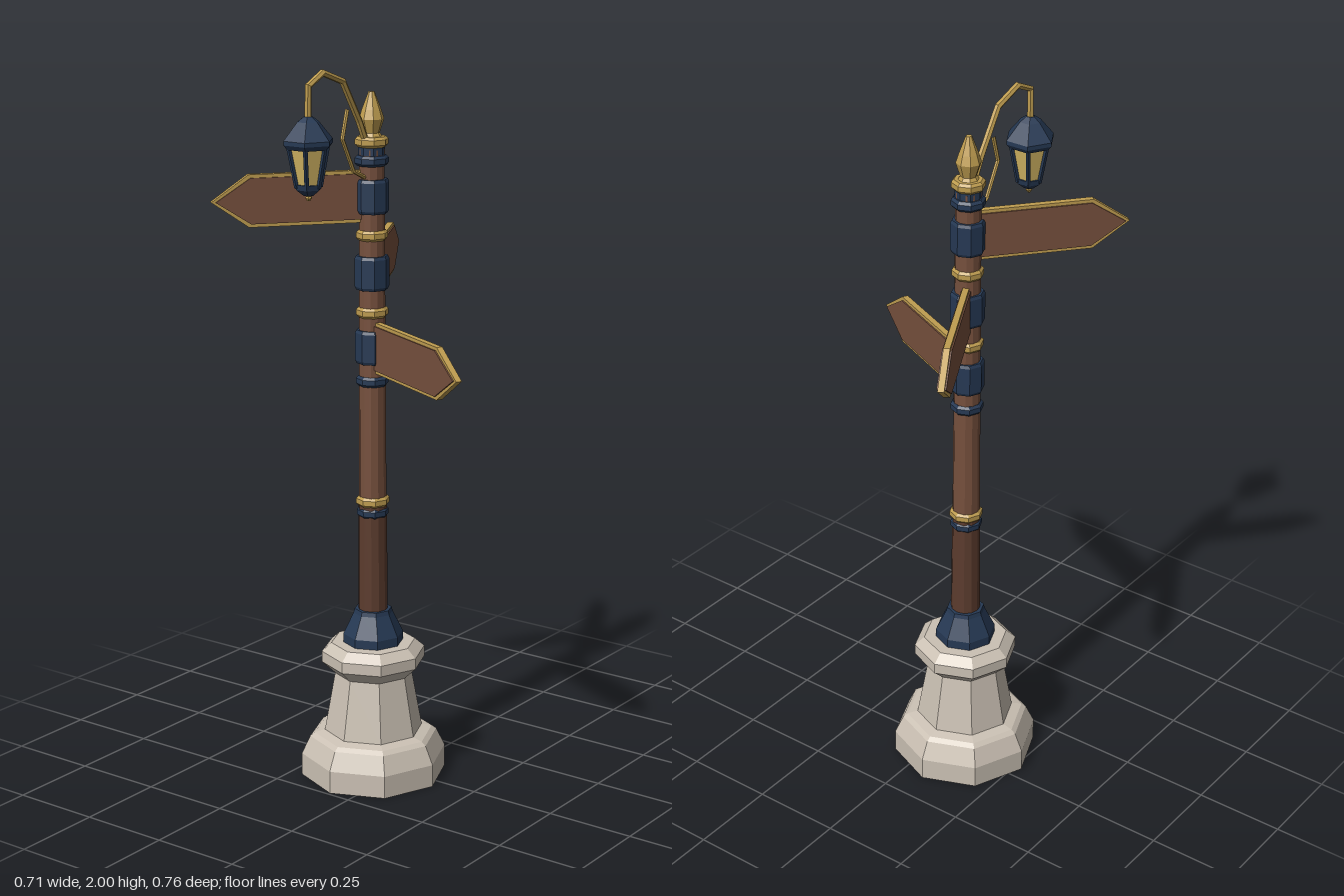
import * as THREE from 'three';

const mat = (name, color) => {
  const m = new THREE.MeshStandardMaterial({ color, flatShading: true });
  m.name = name;
  return m;
};

export function createModel() {
  const stone = mat('stone', 0xcbc1b4);
  const wood = mat('wood', 0x76503d);
  const darkWood = mat('dark wood', 0x5c3c2e);
  const gold = mat('gold', 0xbf9d50);
  const navy = mat('navy', 0x263954);
  const glass = mat('lamp glass', 0xd6b865);

  const model = new THREE.Group();
  model.name = 'signpost';
  const root = new THREE.Group();
  root.name = 'postAssembly';
  root.position.set(-0.068, 0, 0.039);
  model.add(root);

  const add = (name, geometry, material, parent = root) => {
    const mesh = new THREE.Mesh(geometry, material);
    mesh.name = name;
    parent.add(mesh);
    return mesh;
  };

  // Faceted turned part from [radius, height] pairs, closed at both ends
  const turned = (name, profile, material, sides = 8, parent = root) => {
    const pts = [[0, profile[0][1]], ...profile, [0, profile.at(-1)[1]]];
    return add(name, new THREE.LatheGeometry(pts.map(p => new THREE.Vector2(...p)), sides), material, parent);
  };

  // Stone pedestal and metal foot
  turned('pedestal', [[0.204, 0], [0.204, 0.064], [0.18, 0.115], [0.167, 0.125], [0.138, 0.132],
    [0.108, 0.3], [0.145, 0.335], [0.145, 0.366], [0.118, 0.39]], stone);
  turned('postFoot', [[0.084, 0.388], [0.084, 0.415], [0.055, 0.475], [0.052, 0.487]], navy);

  // Post
  turned('lowerPost', [[0.041, 0.47], [0.039, 0.79]], darkWood, 12);
  turned('upperPost', [[0.038, 0.79], [0.034, 1.77]], wood, 12);

  // Ring bands
  const band = (name, y, r, h, material) => turned(name, [[r * 0.85, y - h / 2], [r, y - h / 4],
    [r, y + h / 4], [r * 0.85, y + h / 2]], material);
  for (const [y, r] of [[0.8, 0.046], [1.33, 0.044], [1.54, 0.043], [1.79, 0.045]]) {
    band('goldBand', y, r, 0.028, gold);
  }
  for (const [y, r] of [[0.768, 0.044], [1.14, 0.045], [1.74, 0.046]]) {
    band('navyBand', y, r, 0.028, navy);
  }
  turned('postCap', [[0.036, 1.755], [0.036, 1.785]], navy);
  turned('finial', [[0.034, 1.795], [0.022, 1.813], [0.034, 1.85], [0.026, 1.875], [0.008, 1.922]], gold);

  // Arrow-shaped slab pointing along +x, inset evenly from its outline
  const arrow = (length, inset, depth) => {
    const h = 0.07 - inset, tip = length - inset * 1.25, neck = length - 0.1 - inset * 0.5;
    const s = new THREE.Shape([[0.02, -h], [neck, -h], [tip, 0], [neck, h], [0.02, h]]
      .map(p => new THREE.Vector2(...p)));
    return new THREE.ExtrudeGeometry(s, { depth, bevelEnabled: false }).translate(0, 0, -depth / 2);
  };

  // Direction signs with their collars: height, tip x, tip z
  for (const [y, x, z] of [[1.645, -0.278, 0.333], [1.438, -0.222, -0.413], [1.235, 0.419, 0.196]]) {
    turned('signCollar', [[0.043, y - 0.046], [0.047, y - 0.038], [0.047, y + 0.038], [0.043, y + 0.046]], navy);
    const sign = new THREE.Group();
    sign.name = 'directionSign';
    sign.position.y = y;
    sign.rotation.y = Math.atan2(-z, x);
    root.add(sign);
    const length = Math.hypot(x, z);
    add('signRim', arrow(length, 0, 0.017), gold, sign);
    add('signBoard', arrow(length, 0.009, 0.025), wood, sign);
  }

  // Bent rods in the x = 0 plane, with a joint at each [z, y] point
  const rod = (name, pts, r) => {
    const curve = new THREE.CatmullRomCurve3(pts.map(([z, y]) => new THREE.Vector3(0, y, z)));
    curve.getUtoTmapping = u => u;
    return add(name, new THREE.TubeGeometry(curve, pts.length - 1, r, 6), gold);
  };
  rod('lampArm', [[0.02, 1.78], [0.055, 1.85], [0.125, 1.96], [0.21, 1.99], [0.27, 1.962], [0.272, 1.87]], 0.0095);
  rod('armBrace', [[0.025, 1.695], [0.08, 1.72], [0.128, 1.81], [0.106, 1.885]], 0.006);

  // Six-sided lantern
  const lantern = new THREE.Group();
  lantern.name = 'lantern';
  lantern.position.z = 0.272;
  lantern.rotation.y = Math.PI / 6;
  root.add(lantern);
  turned('lanternRoof', [[0.058, 1.803], [0.068, 1.815], [0.068, 1.826], [0.03, 1.872], [0.012, 1.885]], navy, 6, lantern);
  turned('lanternGlass', [[0.03, 1.705], [0.05, 1.806]], glass, 6, lantern);
  turned('lanternBase', [[0.014, 1.682], [0.034, 1.698], [0.037, 1.712]], navy, 6, lantern);
  turned('lanternTip', [[0.004, 1.668], [0.009, 1.675], [0.007, 1.685]], gold, 6, lantern);

  // Lantern corner bars
  const up = new THREE.Vector3(0, 1, 0);
  for (let i = 0; i < 6; i++) {
    const a = i * Math.PI / 3;
    const low = new THREE.Vector3(Math.sin(a) * 0.033, 1.703, Math.cos(a) * 0.033);
    const high = new THREE.Vector3(Math.sin(a) * 0.054, 1.808, Math.cos(a) * 0.054);
    const bar = add('lanternBar', new THREE.CylinderGeometry(0.006, 0.006, low.distanceTo(high), 4), navy, lantern);
    bar.position.copy(low).lerp(high, 0.5);
    bar.quaternion.setFromUnitVectors(up, high.sub(low).normalize());
  }
  return model;
}
